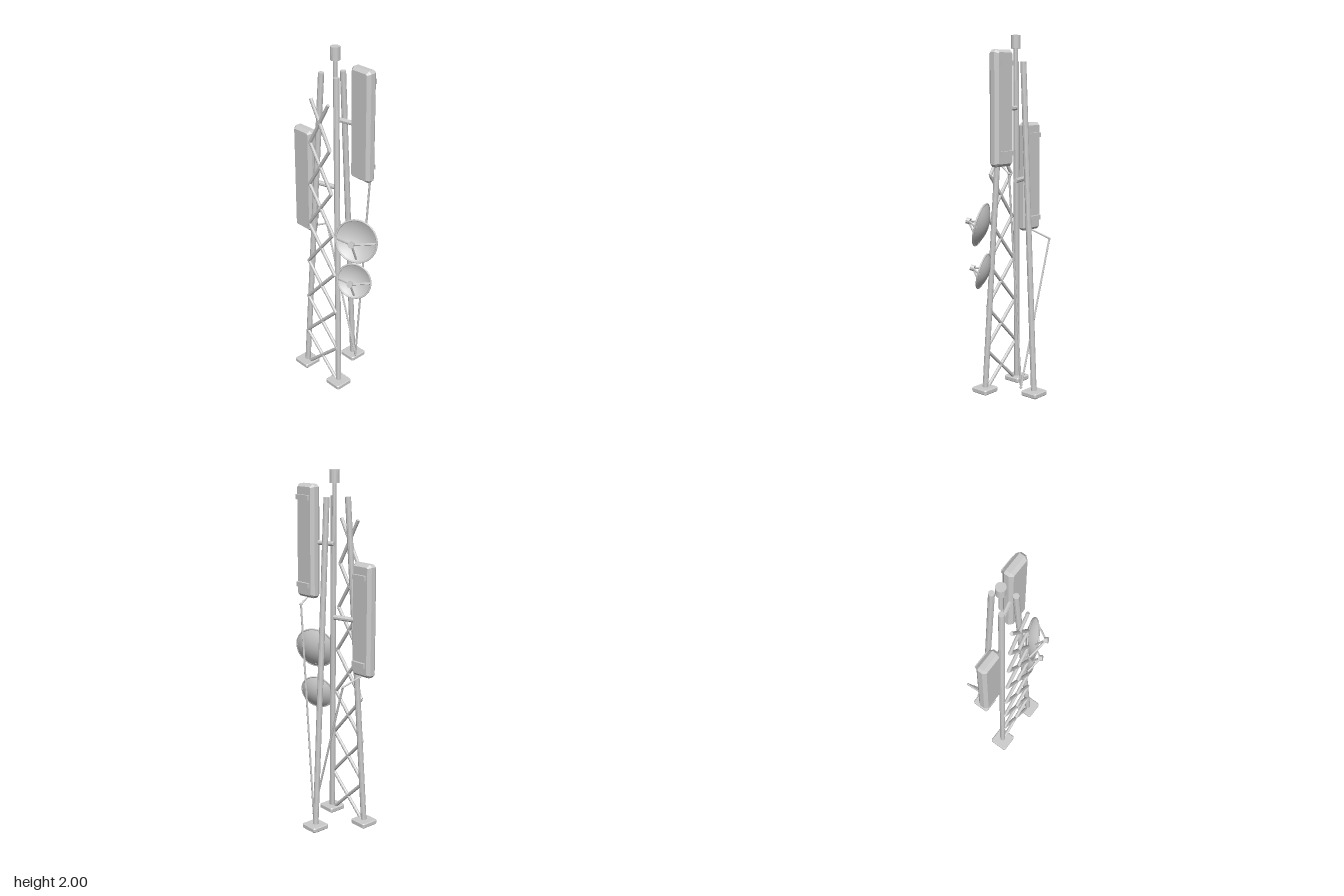
import * as THREE from 'three';

const flat = new THREE.MeshStandardMaterial({ color: 0xcccccc, flatShading: true });
const smooth = new THREE.MeshStandardMaterial({ color: 0xcccccc, side: THREE.DoubleSide });
const V = (x, y, z) => new THREE.Vector3(x, y, z);
const CX = -0.045; // tower axis

function add(parent, name, geometry, material = flat) {
  const mesh = new THREE.Mesh(geometry, material);
  mesh.name = name;
  parent.add(mesh);
  return mesh;
}

// Round bar between two points
function bar(parent, name, a, b, radius, sides = 8) {
  const dir = b.clone().sub(a);
  const mesh = add(parent, name, new THREE.CylinderGeometry(radius, radius, dir.length(), sides));
  mesh.position.copy(a).addScaledVector(dir, 0.5);
  mesh.quaternion.setFromUnitVectors(V(0, 1, 0), dir.normalize());
  return mesh;
}

// Box bevelled on its front and back edges, centred on the origin
function bevelBox(w, h, d, bevel, bevelDepth) {
  const x = w / 2 - bevel, y = h / 2 - bevel, c = 0.005;
  const shape = new THREE.Shape([
    [x - c, -y], [x, c - y], [x, y - c], [x - c, y],
    [c - x, y], [-x, y - c], [-x, c - y], [c - x, -y],
  ].map(([px, py]) => new THREE.Vector2(px, py)));
  return new THREE.ExtrudeGeometry(shape, {
    depth: d - 2 * bevelDepth, bevelEnabled: true, bevelSegments: 1,
    bevelSize: bevel, bevelThickness: bevelDepth,
  }).translate(0, 0, bevelDepth - d / 2);
}

// Tall sector antenna with two rear brackets, a support arm and a cable
function sectorAntenna(parent, name, x, y, z, armY) {
  const g = new THREE.Group();
  g.name = name;
  parent.add(g);
  add(g, 'antennaPanel', bevelBox(0.136, 0.61, 0.064, 0.015, 0.018)).position.set(x, y, z);
  for (const dy of [-0.235, 0.235])
    add(g, 'rearBracket', new THREE.BoxGeometry(0.092, 0.026, 0.02)).position.set(x, y + dy, z - 0.038);
  bar(g, 'supportArm', V(CX, armY, 0.012), V(x, armY, z), 0.013);

  const path = [V(x, y - 0.3, z), V(x, y - 0.34, -0.084), V(0.02, 0.07, -0.084)];
  for (let i = 0; i < 2; i++) {
    bar(g, 'cable', path[i], path[i + 1], 0.006, 6);
    add(g, 'cableJoint', new THREE.SphereGeometry(0.008, 8, 6)).position.copy(path[i + 1]);
  }
}

// Dish with rim, feed horn and three struts, built facing +z and then aimed
function dish(parent, name, x, y, z, r) {
  const g = new THREE.Group();
  g.name = name;
  const depth = r * 0.32, feed = V(0, 0, r * 0.62);
  const profile = [];
  for (let i = 0; i <= 8; i++) {
    const t = i / 8;
    profile.push(new THREE.Vector2(Math.max(r * t, 0.0001), depth * (t * t - 1)));
  }
  add(g, 'bowl', new THREE.LatheGeometry(profile, 32).rotateX(Math.PI / 2), smooth);
  add(g, 'rim', new THREE.TorusGeometry(r - 0.003, 0.005, 6, 32), smooth);
  add(g, 'feedHorn', new THREE.CylinderGeometry(0.017, 0.017, 0.022, 10).rotateX(Math.PI / 2)).position.copy(feed);
  for (const [a, k] of [[0.06, 0.93], [Math.PI + 0.06, 0.93], [-Math.PI / 2 + 0.06, 0.85]])
    bar(g, 'feedStrut', feed, V(r * k * Math.cos(a), r * k * Math.sin(a), depth * (k * k - 1)), 0.006, 6);
  g.position.set(x, y, z);
  g.lookAt(x + 0.42, y + 0.24, z + 0.88);
  parent.add(g);
}

export function createModel() {
  const model = new THREE.Group();
  model.name = 'antennaTower';

  // Three leaning legs on square pads: [base x, base z, top x, top z]
  for (const [x0, z0, x1, z1] of [
    [CX - 0.137, 0.122, CX - 0.056, 0.057],
    [CX + 0.137, 0.122, CX + 0.056, 0.057],
    [CX, -0.125, CX, -0.042],
  ]) {
    bar(model, 'leg', V(x0, 0.003, z0), V(x1, 1.86, z1), 0.016, 10);
    add(model, 'footPad', bevelBox(0.107, 0.107, 0.028, 0.005, 0.005).rotateX(-Math.PI / 2))
      .position.set(x0, 0.029, z0);
  }

  // Crossed bracing in the upright front plane
  const bays = 7, half = (y) => 0.137 - 0.041 * y, level = (i) => 0.015 + (i * 1.72) / bays;
  for (let i = 0; i < bays; i++) {
    const a = level(i), b = level(i + 1);
    for (const s of [-1, 1])
      bar(model, 'frontBrace', V(CX - s * half(a), a, 0.122), V(CX + s * half(b), b, 0.122), 0.0095);
  }

  // Rod and cap at the top
  bar(model, 'topRod', V(CX, 1.76, 0.012), V(CX, 1.94, 0.012), 0.011, 10);
  bar(model, 'topCap', V(CX, 1.93, 0.012), V(CX, 2, 0.012), 0.026, 16);

  sectorAntenna(model, 'leftAntenna', 0.119, 1.615, -0.029, 1.612);
  sectorAntenna(model, 'rightAntenna', -0.224, 1.22, 0.066, 1.215);
  dish(model, 'largeDish', 0.175, 0.992, 0.068, 0.12);
  dish(model, 'smallDish', 0.16, 0.733, 0.068, 0.1);
  return model;
}
